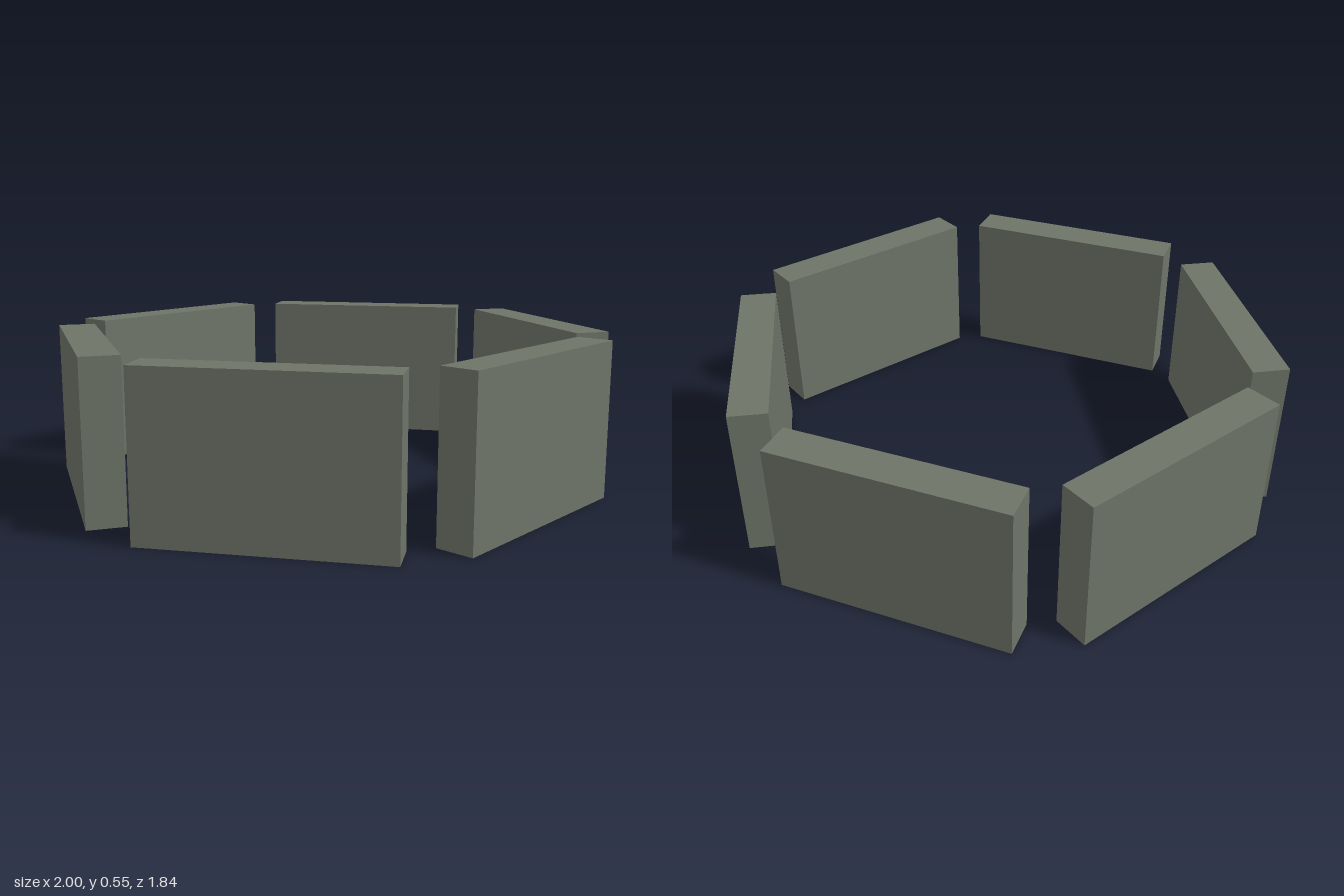
import * as THREE from 'three';

export function createModel() {
  const model = new THREE.Group();
  model.name = 'wallRing';
  const stone = new THREE.MeshStandardMaterial({ color: 0x6e7468 });
  stone.name = 'grey green stone';

  // Six identical slabs stand in a hexagon with open corners
  const width = 0.805, height = 0.547, depth = 0.13, radius = 0.857;
  const slab = new THREE.BoxGeometry(width, height, depth);
  for (let i = 0; i < 6; i++) {
    const angle = (i * Math.PI) / 3;
    const wall = new THREE.Mesh(slab, stone);
    wall.name = `wallSlab${i + 1}`;
    wall.position.set(radius * Math.sin(angle), height / 2, radius * Math.cos(angle));
    wall.rotation.y = angle;
    model.add(wall);
  }
  return model;
}
